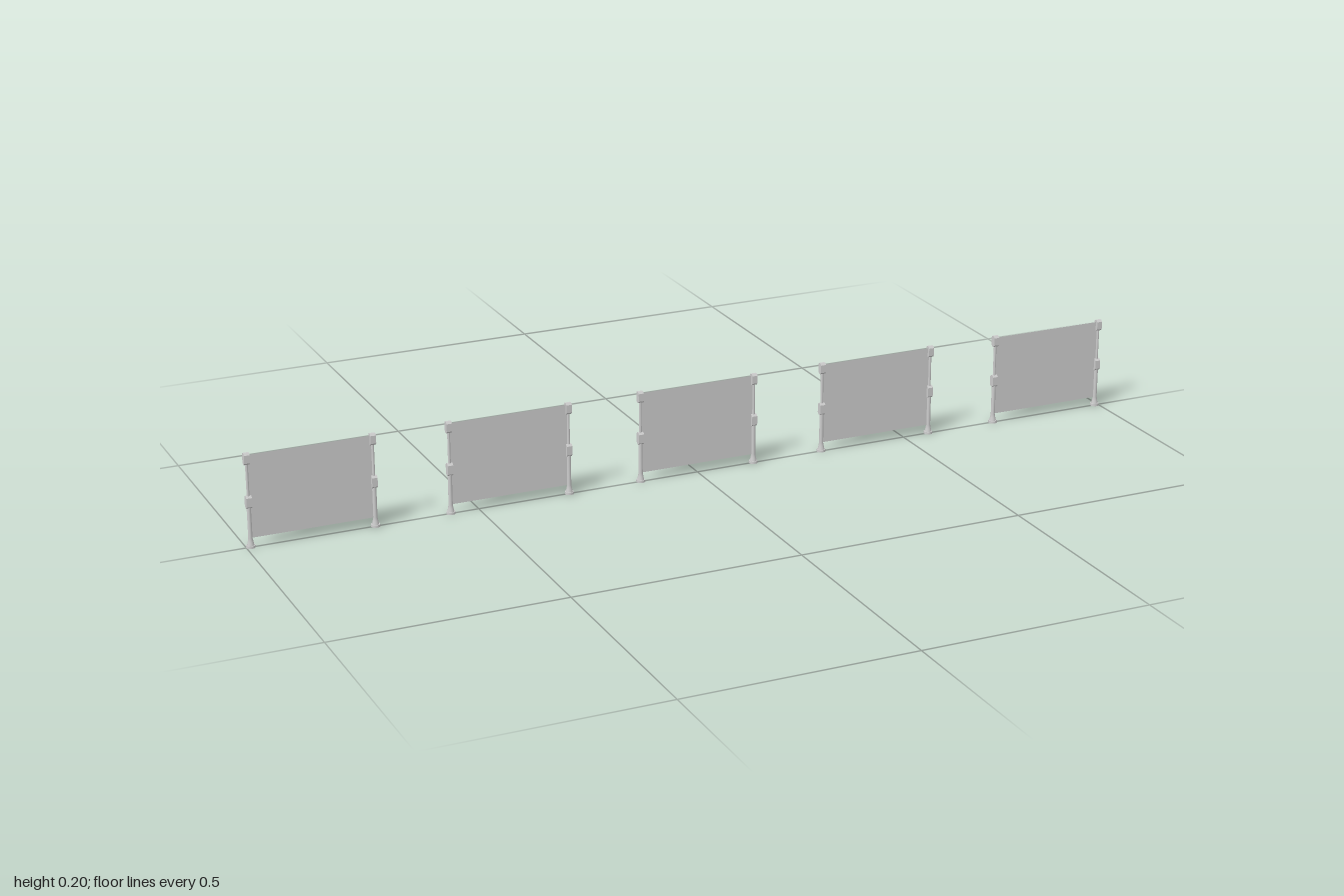
import * as THREE from 'three';

const material = new THREE.MeshStandardMaterial({ color: 0xcccccc });
const sheet = new THREE.MeshStandardMaterial({ color: 0xcccccc, side: THREE.DoubleSide });

const COUNT = 5, SPACING = 0.429, HALF = 0.1325;

function turned(points, sides = 12) {
  return new THREE.LatheGeometry(points.map(([r, y]) => new THREE.Vector2(r, y)), sides);
}

// Clamp: a chamfered block gripping the panel edge, outline in z and y
function clampGeometry(y0, y1) {
  const w = 0.0065, c = 0.004, shape = new THREE.Shape();
  shape.moveTo(-w + c, y0);
  shape.lineTo(w - c, y0);
  shape.lineTo(w, y0 + c);
  shape.lineTo(w, y1 - c);
  shape.lineTo(w - c, y1);
  shape.lineTo(-w + c, y1);
  shape.lineTo(-w, y1 - c);
  shape.lineTo(-w, y0 + c);
  const geometry = new THREE.ExtrudeGeometry(shape, { depth: 0.012, bevelEnabled: false });
  return geometry.translate(0, 0, -0.006).rotateY(Math.PI / 2);
}

const parts = {
  // Foot plate
  basePlate: new THREE.CylinderGeometry(0.0095, 0.0098, 0.005, 12).translate(0, 0.0025, 0),
  // Flared foot, lower tube and slimmer upper tube
  upright: turned([[0.0075, 0.005], [0.006, 0.012], [0.0045, 0.02], [0.0045, 0.09],
    [0.003, 0.105], [0.003, 0.185]]),
  middleClamp: clampGeometry(0.085, 0.112),
  topClamp: clampGeometry(0.179, 0.204),
};

function createPost(name) {
  const post = new THREE.Group();
  post.name = name;
  for (const [part, geometry] of Object.entries(parts)) {
    const mesh = new THREE.Mesh(geometry, material);
    mesh.name = part;
    post.add(mesh);
  }
  return post;
}

export function createModel() {
  const model = new THREE.Group();
  model.name = 'barrierRow';
  const panelGeometry = new THREE.PlaneGeometry(HALF * 2, 0.179).translate(0, 0.1095, 0);

  for (let i = 0; i < COUNT; i++) {
    const barrier = new THREE.Group();
    barrier.name = 'barrier';
    barrier.position.x = (i - (COUNT - 1) / 2) * SPACING;

    // Thin sheet held between two posts
    const panel = new THREE.Mesh(panelGeometry, sheet);
    panel.name = 'panel';
    barrier.add(panel);

    for (const side of [-1, 1]) {
      const post = createPost(side > 0 ? 'leftPost' : 'rightPost');
      post.position.x = side * HALF;
      barrier.add(post);
    }
    model.add(barrier);
  }
  return model;
}
